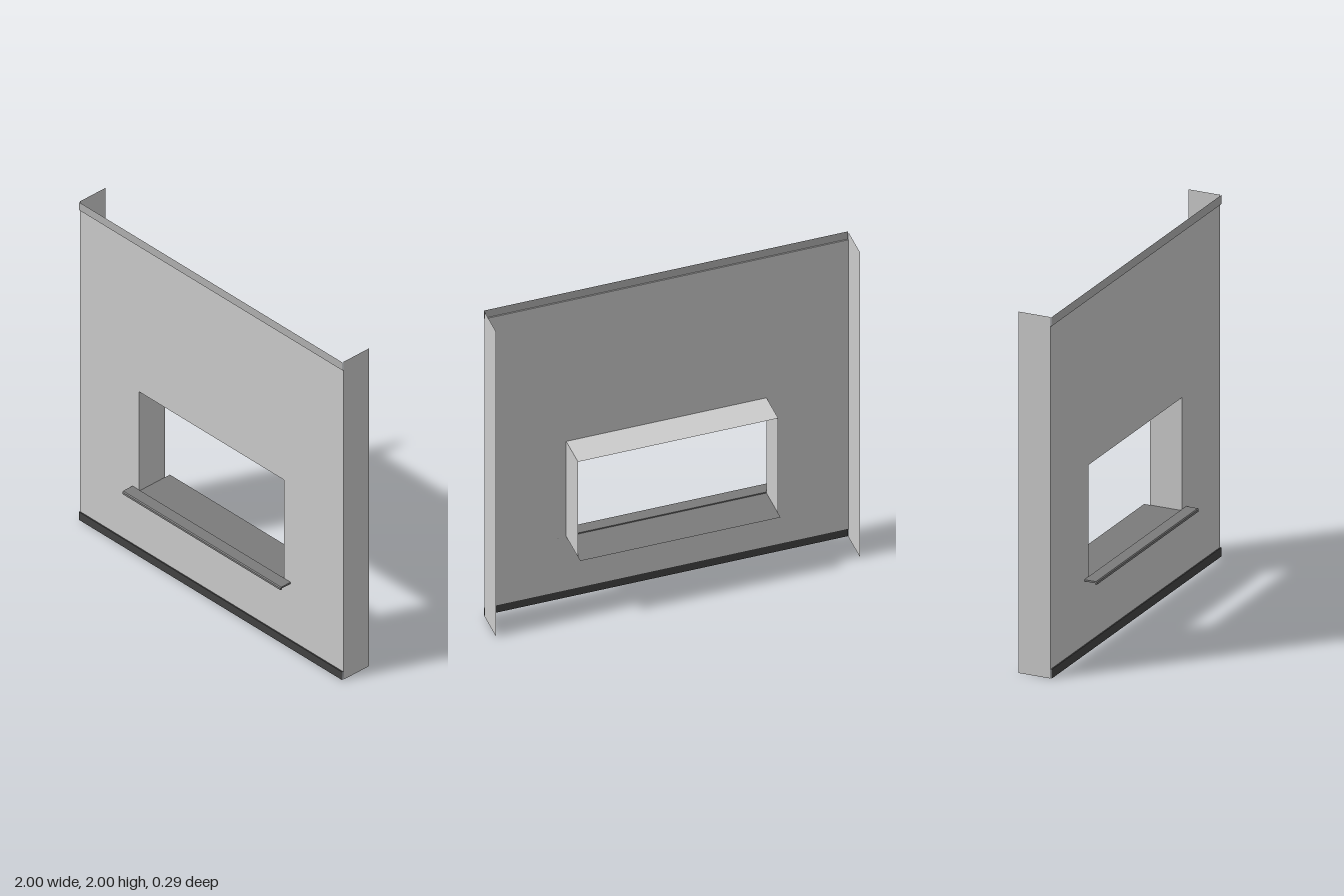
import * as THREE from 'three';

const WALL_Z = 0.073, BAND_Z = 0.08, BACK_Z = -0.11;
const HOLE = { x: 0.55, bottom: 0.405, top: 1.03 };

const material = (color) => new THREE.MeshStandardMaterial({ color, side: THREE.DoubleSide, flatShading: true });

export function createModel() {
  const model = new THREE.Group();
  model.name = 'windowWallPanel';
  const grey = material(0xcccccc);
  const sillGrey = material(0x7b7b7b);
  const topGrey = material(0xb0b0b0);
  const baseGrey = material(0x424242);

  const add = (name, geometry, mat) => {
    const mesh = new THREE.Mesh(geometry, mat);
    mesh.name = name;
    model.add(mesh);
    return mesh;
  };
  // Thin sheets, one helper per facing axis
  const sheetX = (name, x, y0, y1, z0, z1, mat) =>
    add(name, new THREE.PlaneGeometry(z1 - z0, y1 - y0).rotateY(Math.sign(x) * Math.PI / 2)
      .translate(x, (y0 + y1) / 2, (z0 + z1) / 2), mat);
  const sheetY = (name, halfWidth, y, z0, z1, mat) =>
    add(name, new THREE.PlaneGeometry(2 * halfWidth, z1 - z0).rotateX(-Math.PI / 2)
      .translate(0, y, (z0 + z1) / 2), mat);
  const sheetZ = (name, halfWidth, y0, y1, z, mat) =>
    add(name, new THREE.PlaneGeometry(2 * halfWidth, y1 - y0).translate(0, (y0 + y1) / 2, z), mat);

  // Front wall with window opening
  const rect = (Type, x, y0, y1) => new Type([[-x, y0], [x, y0], [x, y1], [-x, y1]]
    .map(([px, py]) => new THREE.Vector2(px, py)));
  const wall = rect(THREE.Shape, 1, 0.05, 1.95);
  wall.holes.push(rect(THREE.Path, HOLE.x, HOLE.bottom, HOLE.top));
  add('frontWall', new THREE.ShapeGeometry(wall).translate(0, 0, WALL_Z), grey);

  // Raised strips along the top and bottom edges, with their small ledges
  sheetZ('topBand', 1, 1.95, 2, BAND_Z, topGrey);
  sheetY('topBandLedge', 1, 1.95, WALL_Z, BAND_Z, topGrey);
  sheetZ('baseBand', 1, 0, 0.05, BAND_Z, baseGrey);
  sheetY('baseBandLedge', 1, 0.05, WALL_Z, BAND_Z, baseGrey);

  // Side returns and window reveals
  for (const [side, s] of [['left', 1], ['right', -1]]) {
    sheetX(side + 'Return', s, 0, 2, BACK_Z, WALL_Z, grey);
    sheetX(side + 'Reveal', s * HOLE.x, HOLE.bottom, HOLE.top, BACK_Z, WALL_Z, grey);
  }
  sheetY('topReveal', HOLE.x, HOLE.top, BACK_Z, WALL_Z, grey);

  // Sill: thin board through the opening and a wider nose with a drip lip
  sheetY('sillBoard', HOLE.x, 0.405, -0.145, WALL_Z, sillGrey);
  const nose = new THREE.Shape([
    [WALL_Z, 0.402], [0.134, 0.402], [0.134, 0.395], [0.145, 0.395], [0.145, 0.407], [0.14, 0.412], [WALL_Z, 0.412],
  ].map(([z, y]) => new THREE.Vector2(z, y)));
  add('sillNose', new THREE.ExtrudeGeometry(nose, { depth: 1.2, bevelEnabled: false })
    .translate(0, 0, -0.6).rotateY(-Math.PI / 2), sillGrey);

  return model;
}
